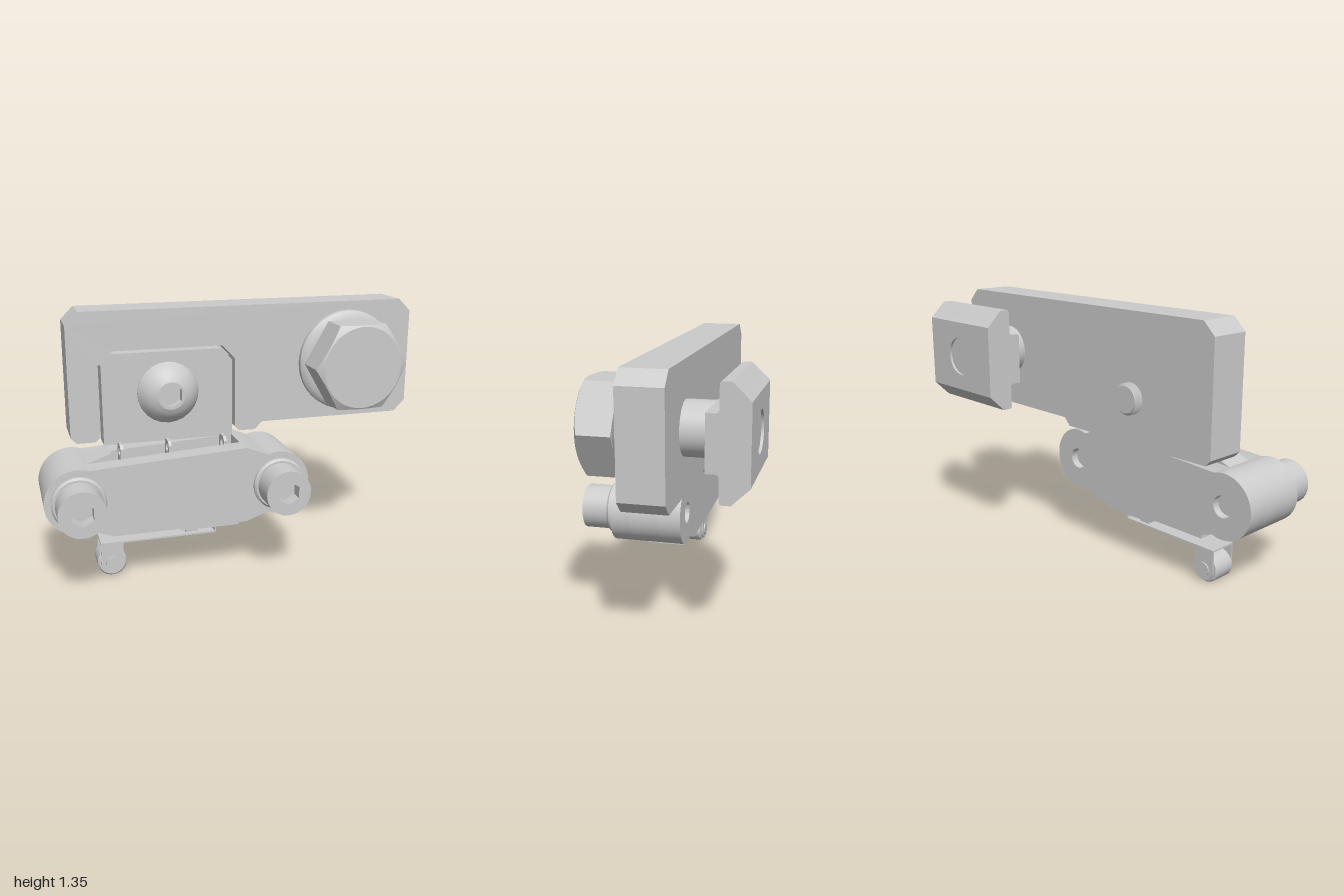
import * as THREE from 'three';
import { toCreasedNormals } from 'three/addons/utils/BufferGeometryUtils.js';

const grey = new THREE.MeshStandardMaterial({ color: 0xcccccc });

function add(parent, name, geometry, x = 0, y = 0, z = 0) {
  const mesh = new THREE.Mesh(toCreasedNormals(geometry, 0.5), grey);
  mesh.name = name;
  mesh.position.set(x, y, z);
  parent.add(mesh);
  return mesh;
}
const poly = (pts) => new THREE.Shape(pts.map(([x, y]) => new THREE.Vector2(x, y)));
const circle = (r, x = 0, y = 0) => new THREE.Shape().absarc(x, y, r, 0, Math.PI * 2);
const hexagon = (r) => poly([0, 1, 2, 3, 4, 5].map((i) => {
  const a = Math.PI / 2 + i * Math.PI / 3;
  return [r * Math.cos(a), r * Math.sin(a)];
}));
// Extrude an outline from depth z0 to z1
function slab(shape, z0, z1, holes = []) {
  shape.holes.push(...holes);
  return new THREE.ExtrudeGeometry(shape, { depth: z1 - z0, bevelEnabled: false, curveSegments: 24 }).translate(0, 0, z0);
}
// Turned part around the z axis, profile given as [radius, z]
const turned = (pts, n = 40) =>
  new THREE.LatheGeometry(pts.map(([r, z]) => new THREE.Vector2(r, z)), n).rotateX(Math.PI / 2);
const block = (x0, x1, y0, y1, z0, z1) =>
  new THREE.BoxGeometry(x1 - x0, y1 - y0, z1 - z0).translate((x0 + x1) / 2, (y0 + y1) / 2, (z0 + z1) / 2);

// Rounded switch housing outline, optionally with a notch in the top
function housingShape(notch) {
  const s = new THREE.Shape();
  const a = Math.PI * 70 / 180;
  s.moveTo(-0.67, 0.675);
  s.absarc(-0.835, 0.475, 0.165, a, Math.PI * 2 - a, false);
  s.lineTo(-0.67, 0.28);
  s.lineTo(0.01, 0.28);
  s.absarc(0.175, 0.475, 0.165, Math.PI + a, Math.PI * 3 - a, false);
  s.lineTo(0.01, 0.675);
  if (notch) for (const [x, y] of [[0, 0.675], [0, 0.56], [-0.655, 0.56], [-0.655, 0.675]]) s.lineTo(x, y);
  return s;
}

// Hexagonal bolt head with a conical chamfer on its front corners
function boltHead(flat, h) {
  const geo = new THREE.LatheGeometry(
    [[0, 0], [1, 0], [1, h], [0.9, h], [0, h]].map(([r, z]) => new THREE.Vector2(r, z)), 72).rotateX(Math.PI / 2);
  const p = geo.attributes.position;
  for (let i = 0; i < p.count; i++) {
    const x = p.getX(i), y = p.getY(i), r = Math.hypot(x, y);
    if (r < 0.5) continue;
    const a = Math.atan2(y, x), sector = Math.PI / 3;
    const off = a - (Math.floor(a / sector + 1e-6) + 0.5) * sector;
    const edge = r > 0.95 ? flat / Math.cos(off) : flat * 0.97;
    p.setXY(i, Math.cos(a) * edge, Math.sin(a) * edge);
    if (r > 0.95 && p.getZ(i) > h / 2) p.setZ(i, h - (edge - flat * 0.97) * 0.55);
  }
  return geo;
}

export function createModel() {
  const model = new THREE.Group();
  model.name = 'limitSwitchAssembly';

  // Mounting plate: solid back layer, front layer with a pocket for the bracket
  const rim = [[0.13, 0.69], [0.17, 0.73], [0.94, 0.73], [1, 0.79], [1, 1.285], [0.935, 1.35],
    [-0.77, 1.35], [-0.835, 1.285], [-0.835, 0.72], [-0.805, 0.69]];
  const pocket = [[-0.71, 0.69], [-0.685, 0.715], [-0.685, 1.08], [-0.615, 1.15],
    [-0.05, 1.15], [0.02, 1.08], [0.02, 0.715], [0.045, 0.69]];
  const plate = new THREE.Group();
  plate.name = 'mountingPlate';
  model.add(plate);
  add(plate, 'plateBack', slab(poly(rim), -0.148, -0.05));
  add(plate, 'plateFront', slab(poly([...rim, ...pocket]), -0.05, 0.066));

  // Switch housing with a top cavity and a bracket rising from its back wall
  const housing = new THREE.Group();
  housing.name = 'switchHousing';
  model.add(housing);
  const holes = () => [circle(0.055, -0.835, 0.475), circle(0.055, 0.175, 0.475)];
  add(housing, 'housingBack', slab(housingShape(false), -0.048, 0.066, holes()));
  add(housing, 'housingMiddle', slab(housingShape(true), 0.066, 0.215, holes()));
  add(housing, 'housingFront', slab(housingShape(false), 0.215, 0.32, holes()));
  add(housing, 'bracket', slab(poly([[-0.67, 0.67], [0.005, 0.67], [0.005, 1.075], [-0.055, 1.135],
    [-0.61, 1.135], [-0.67, 1.075]]), -0.048, 0.064));

  // Socket screws with washers at both housing ends
  for (const x of [-0.835, 0.175]) {
    const screw = new THREE.Group();
    screw.name = 'housingScrew';
    screw.position.set(x, 0.475, 0);
    model.add(screw);
    add(screw, 'screwWasher', turned([[0, 0.32], [0.125, 0.32], [0.134, 0.328], [0.134, 0.342], [0.125, 0.352], [0, 0.352]]));
    add(screw, 'screwHead', slab(circle(0.115), 0.35, 0.487, [hexagon(0.06)]));
    add(screw, 'socketFloor', slab(circle(0.08), 0.35, 0.42));
    add(screw, 'screwShank', slab(circle(0.053), -0.01, 0.35));
  }

  // Domed socket screw clamping the bracket, its threaded end out the back
  const dome = new THREE.Group();
  dome.name = 'domeScrew';
  dome.position.set(-0.335, 0.925, 0);
  model.add(dome);
  add(dome, 'domeHead', turned([[0.158, 0.064], [0.158, 0.074], [0.142, 0.102], [0.118, 0.128], [0.094, 0.145], [0.07, 0.155]], 24));
  add(dome, 'domeTop', slab(circle(0.07), 0.1, 0.155, [hexagon(0.06)]));
  add(dome, 'domeSocketFloor', slab(circle(0.08), 0.07, 0.11));
  const thread = [];
  for (let i = 0; i < 4; i++) thread.push([0.068, -0.192 + i * 0.014], [0.08, -0.185 + i * 0.014]);
  add(dome, 'threadedEnd', turned([[0, -0.198], [0.068, -0.198], ...thread]));

  // Large hexagonal bolt, washer and shank
  const bolt = new THREE.Group();
  bolt.name = 'hexBolt';
  bolt.position.set(0.632, 1.04, 0);
  model.add(bolt);
  add(bolt, 'boltWasher', turned([[0, 0.066], [0.258, 0.066], [0.265, 0.073], [0.265, 0.098], [0.257, 0.107],
    [0.24, 0.117], [0.21, 0.125], [0, 0.125]], 48));
  add(bolt, 'boltHead', boltHead(0.217, 0.178), 0, 0, 0.124);
  add(bolt, 'boltShank', slab(circle(0.13), -0.3, -0.14));
  add(bolt, 'boltEnd', slab(circle(0.1), -0.472, -0.3));

  // Slot nut: T-shaped section running along x, bored for the bolt
  const half = [[-0.29, 0.13], [-0.34, 0.13], [-0.35, 0.14], [-0.35, 0.255], [-0.357, 0.263], [-0.402, 0.263], [-0.485, 0.183]];
  const section = half.concat(half.map(([z, y]) => [z, -y]).reverse());
  const nut = new THREE.Group();
  nut.name = 'slotNut';
  nut.position.set(0.632, 1.04, 0);
  model.add(nut);
  const along = (pts, x0, x1) => slab(poly(pts.map(([z, y]) => [-z, y])), x0, x1).rotateY(Math.PI / 2);
  const body = section.map(([z, y]) => [Math.max(z, -0.465), z < -0.465 ? Math.sign(y) * 0.202 : y]);
  add(nut, 'nutBody', along(body, -0.265, 0.265));
  // Back face layer keeps the bore open; its long edges follow the bevel
  const face = slab(poly([[-0.265, -0.183], [0.265, -0.183], [0.265, 0.183], [-0.265, 0.183]]), -0.485, -0.465, [circle(0.1)]);
  const fp = face.attributes.position;
  for (let i = 0; i < fp.count; i++) {
    if (fp.getZ(i) > -0.475 && Math.abs(fp.getY(i)) > 0.15) fp.setY(i, Math.sign(fp.getY(i)) * 0.202);
  }
  add(nut, 'nutBackFace', face);

  // Microswitch protruding under the housing, with terminals in the cavity
  const micro = new THREE.Group();
  micro.name = 'microswitch';
  model.add(micro);
  const under = (xMax) => poly([[-0.665, 0.3], [-0.665, 0.243], [-0.34, 0.243], [-0.305, 0.22], [xMax, 0.22], [xMax, 0.3]]);
  add(micro, 'microswitchBody', slab(under(0), 0.014, 0.212));
  add(micro, 'plunger', block(-0.28, -0.215, 0.195, 0.23, 0.045, 0.18));
  for (const x of [-0.595, -0.35, -0.06]) {
    const tab = slab(poly([[0.07, 0.55], [0.165, 0.55], [0.165, 0.67], [0.145, 0.69], [0.09, 0.69], [0.07, 0.67]]),
      -0.008, 0.008, [circle(0.022, 0.118, 0.65)]);
    add(micro, 'terminal', tab.rotateY(-Math.PI / 2), x);
  }

  // Roller lever: flat spring strip, two cheeks, axle and roller
  const lever = new THREE.Group();
  lever.name = 'rollerLever';
  model.add(lever);
  add(lever, 'leverStrip', block(-0.725, -0.12, 0.18, 0.189, 0.035, 0.19));
  add(lever, 'leverHinge', block(-0.128, -0.119, 0.18, 0.23, 0.035, 0.19));
  for (const z of [0.035, 0.181]) {
    const cheek = new THREE.Shape();
    cheek.moveTo(-0.61, 0.185);
    cheek.lineTo(-0.725, 0.185);
    cheek.absarc(-0.6675, 0.073, 0.0575, Math.PI, Math.PI * 2, false);
    add(lever, 'leverCheek', slab(cheek, z, z + 0.009));
  }
  add(lever, 'axle', slab(circle(0.036), 0.028, 0.197), -0.6675, 0.075);
  add(lever, 'roller', turned([[0, 0.05], [0.067, 0.05], [0.075, 0.058], [0.075, 0.167], [0.067, 0.175], [0, 0.175]]), -0.6675, 0.075);
  return model;
}
